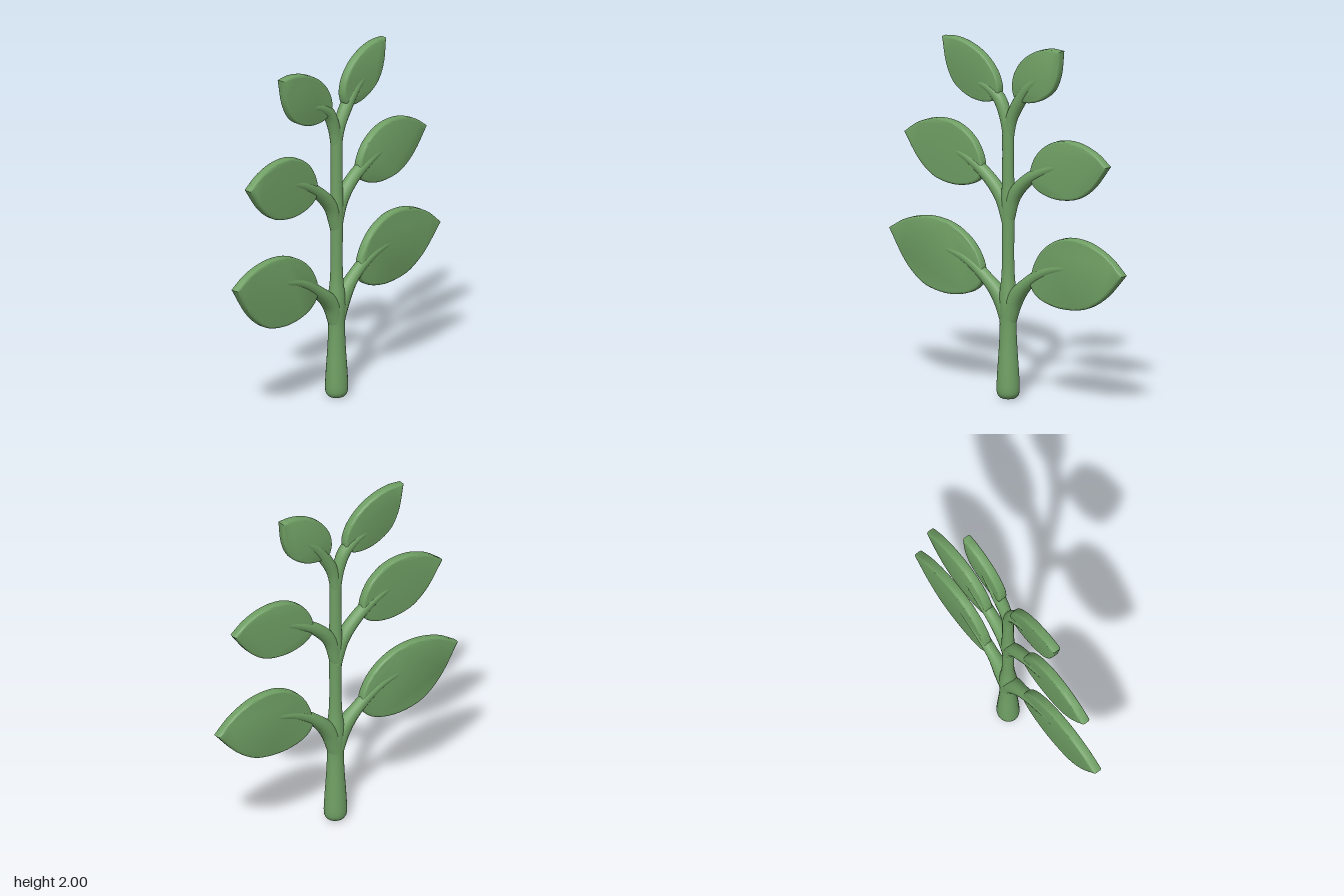
import * as THREE from 'three';
import { toCreasedNormals } from 'three/addons/utils/BufferGeometryUtils.js';

const leafGreen = new THREE.MeshStandardMaterial({ color: 0x6f9f64 });
leafGreen.name = 'leaf green';

// Shared leaf edges as [distance from base to tip, share of the greatest width]
const upperEdge = [[0, 0], [0.06, 0.4], [0.2, 0.8], [0.42, 1], [0.66, 0.87], [0.87, 0.47], [1, 0]];
const lowerEdge = [[0, 0], [0.03, 0.3], [0.1, 0.57], [0.27, 0.88], [0.48, 1], [0.6, 0.94], [0.77, 0.66], [1, 0]];

// Main stem radius and height, with a thick foot and swellings at the forks
const stemProfile = [[0, 0], [0.035, 0.002], [0.055, 0.016], [0.065, 0.05], [0.061, 0.15], [0.051, 0.3], [0.047, 0.42],
  [0.052, 0.52], [0.048, 0.59], [0.038, 0.68], [0.034, 0.8], [0.036, 1.0], [0.039, 1.1], [0.035, 1.2],
  [0.033, 1.35], [0.033, 1.48], [0.028, 1.57], [0, 1.6]];

// Flat blade with a rounded rim, measured along and across the line from base to tip
function bladeGeometry(base, tip, upperWidth, lowerWidth) {
  const start = new THREE.Vector2(...base);
  const axis = new THREE.Vector2(...tip).sub(start);
  const up = new THREE.Vector2(-axis.y, axis.x).normalize().multiplyScalar(Math.sign(axis.x));
  const edge = (profile, width) => {
    const pts = profile.map(([t, w]) => {
      const p = start.clone().addScaledVector(axis, t).addScaledVector(up, w * width);
      return new THREE.Vector3(p.x, p.y, 0);
    });
    return new THREE.CatmullRomCurve3(pts, false, 'centripetal').getPoints(28);
  };
  const there = edge(upperEdge, upperWidth);
  const back = edge(lowerEdge, -lowerWidth).reverse();
  const outline = [...there, ...back.slice(1, -1)].map(p => new THREE.Vector2(p.x, p.y));
  const bevel = 0.012;
  const geo = new THREE.ExtrudeGeometry(new THREE.Shape(outline), {
    depth: 0.052 - 2 * bevel, bevelThickness: bevel, bevelSize: bevel, bevelOffset: -bevel, bevelSegments: 4,
  });
  geo.translate(0, 0, -0.028 + bevel);
  return toCreasedNormals(geo, 0.8);
}

// Round tube whose radius follows a list along a planar path
function taperedTube(points, radii) {
  const segs = 32, sides = 16;
  const curve = new THREE.CatmullRomCurve3(points.map(([x, y]) => new THREE.Vector3(x, y, -0.002)), false, 'centripetal');
  const radius = new THREE.SplineCurve(radii.map((r, i) => new THREE.Vector2(i, r)));
  const geo = new THREE.TubeGeometry(curve, segs, 1, sides, false);
  const pos = geo.attributes.position, v = new THREE.Vector3();
  for (let i = 0; i <= segs; i++) {
    const centre = curve.getPointAt(i / segs);
    const r = radius.getPoint(curve.getUtoTmapping(i / segs)).y;
    for (let j = 0; j <= sides; j++) {
      const k = i * (sides + 1) + j;
      v.fromBufferAttribute(pos, k).sub(centre).multiplyScalar(r).add(centre);
      pos.setXYZ(k, v.x, v.y, v.z);
    }
  }
  return geo;
}

function addMesh(parent, name, geometry) {
  const mesh = new THREE.Mesh(geometry, leafGreen);
  mesh.name = name;
  parent.add(mesh);
  return mesh;
}

// One leaf with a branch that runs on as a fading midrib
function addLeaf(parent, name, base, tip, upperWidth, lowerWidth, branchRadius, path) {
  const leaf = new THREE.Group();
  leaf.name = name + 'Leaf';
  parent.add(leaf);
  addMesh(leaf, name + 'Blade', bladeGeometry(base, tip, upperWidth, lowerWidth));
  addMesh(leaf, name + 'Branch', taperedTube(path, [branchRadius, branchRadius * 1.15, 0.036, 0.032, 0.022]));
}

export function createModel() {
  const group = new THREE.Group();
  group.name = 'leafySprig';

  const profile = new THREE.SplineCurve(stemProfile.map(([r, y]) => new THREE.Vector2(r, y))).getPoints(68);
  profile.forEach(p => p.set(Math.max(0, p.x), Math.max(0, p.y)));
  addMesh(group, 'mainStem', new THREE.LatheGeometry(profile, 24)).scale.z = 0.95;

  // Lower pair
  addLeaf(group, 'lowerRight', [-0.16, 0.65], [-0.815, 0.845], 0.2, 0.203, 0.042,
    [[0, 0.42], [-0.045, 0.55], [-0.14, 0.645], [-0.3, 0.75], [-0.55, 0.805]]);
  addLeaf(group, 'lowerLeft', [0.165, 0.66], [0.81, 0.8], 0.238, 0.162, 0.042,
    [[0, 0.42], [0.045, 0.56], [0.13, 0.66], [0.28, 0.755], [0.54, 0.81]]);
  // Middle pair
  addLeaf(group, 'middleRight', [-0.165, 1.24], [-0.71, 1.4], 0.193, 0.157, 0.034,
    [[0, 0.98], [-0.045, 1.12], [-0.14, 1.225], [-0.27, 1.31], [-0.43, 1.365]]);
  addLeaf(group, 'middleLeft', [0.16, 1.26], [0.7, 1.395], 0.18, 0.152, 0.034,
    [[0, 1.0], [0.04, 1.14], [0.13, 1.24], [0.25, 1.31], [0.43, 1.375]]);
  // Top pair
  addLeaf(group, 'topRight', [-0.055, 1.69], [-0.447, 1.972], 0.112, 0.158, 0.029,
    [[0, 1.45], [-0.018, 1.57], [-0.06, 1.67], [-0.13, 1.725], [-0.26, 1.765]]);
  addLeaf(group, 'topLeft', [0.05, 1.705], [0.375, 2], 0.115, 0.135, 0.029,
    [[0, 1.45], [0.022, 1.57], [0.08, 1.68], [0.15, 1.77], [0.26, 1.85]]);
  return group;
}
